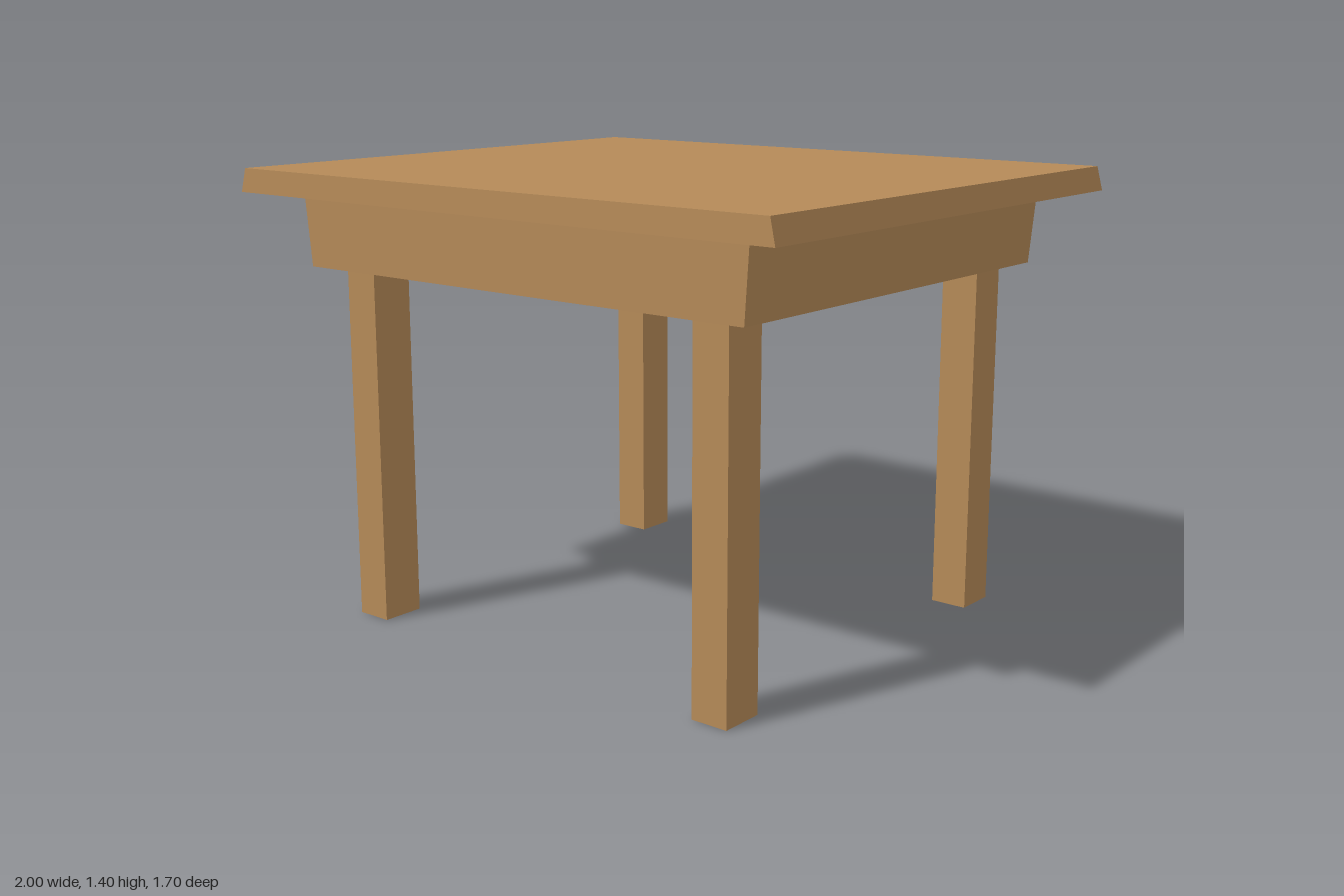
import * as THREE from 'three';

const wood = new THREE.MeshStandardMaterial({ color: 0xb58a58 });
wood.name = 'wood';

// Box from y0 to y1 whose bottom and top rectangles [x0, x1, z0, z1] may differ.
function taperedBox(name, y0, y1, bottom, top = bottom) {
  const geometry = new THREE.BoxGeometry(1, 1, 1).toNonIndexed();
  const p = geometry.attributes.position;
  for (let i = 0; i < p.count; i++) {
    const upper = p.getY(i) > 0;
    const r = upper ? top : bottom;
    p.setXYZ(i, p.getX(i) < 0 ? r[0] : r[1], upper ? y1 : y0, p.getZ(i) < 0 ? r[2] : r[3]);
  }
  geometry.computeVertexNormals();
  const mesh = new THREE.Mesh(geometry, wood);
  mesh.name = name;
  return mesh;
}

export function createModel() {
  const table = new THREE.Group();
  table.name = 'table';

  // Tabletop, bevelled inwards towards the top
  table.add(taperedBox('tabletop', 1.325, 1.398,
    [-1, 1, -0.85, 0.85], [-0.982, 0.982, -0.847, 0.847]));

  // Solid apron, slightly narrower at the bottom
  table.add(taperedBox('apron', 1.1, 1.325,
    [-0.825, 0.823, -0.728, 0.732], [-0.845, 0.841, -0.735, 0.736]));

  // Four square legs ending just below the apron
  for (const [side, x0, x1] of [['Right', -0.715, -0.598], ['Left', 0.625, 0.743]]) {
    for (const [end, z0, z1] of [['front', 0.55, 0.688], ['back', -0.692, -0.556]]) {
      table.add(taperedBox(`${end}${side}Leg`, 0, 1.093, [x0, x1, z0, z1]));
    }
  }
  return table;
}
